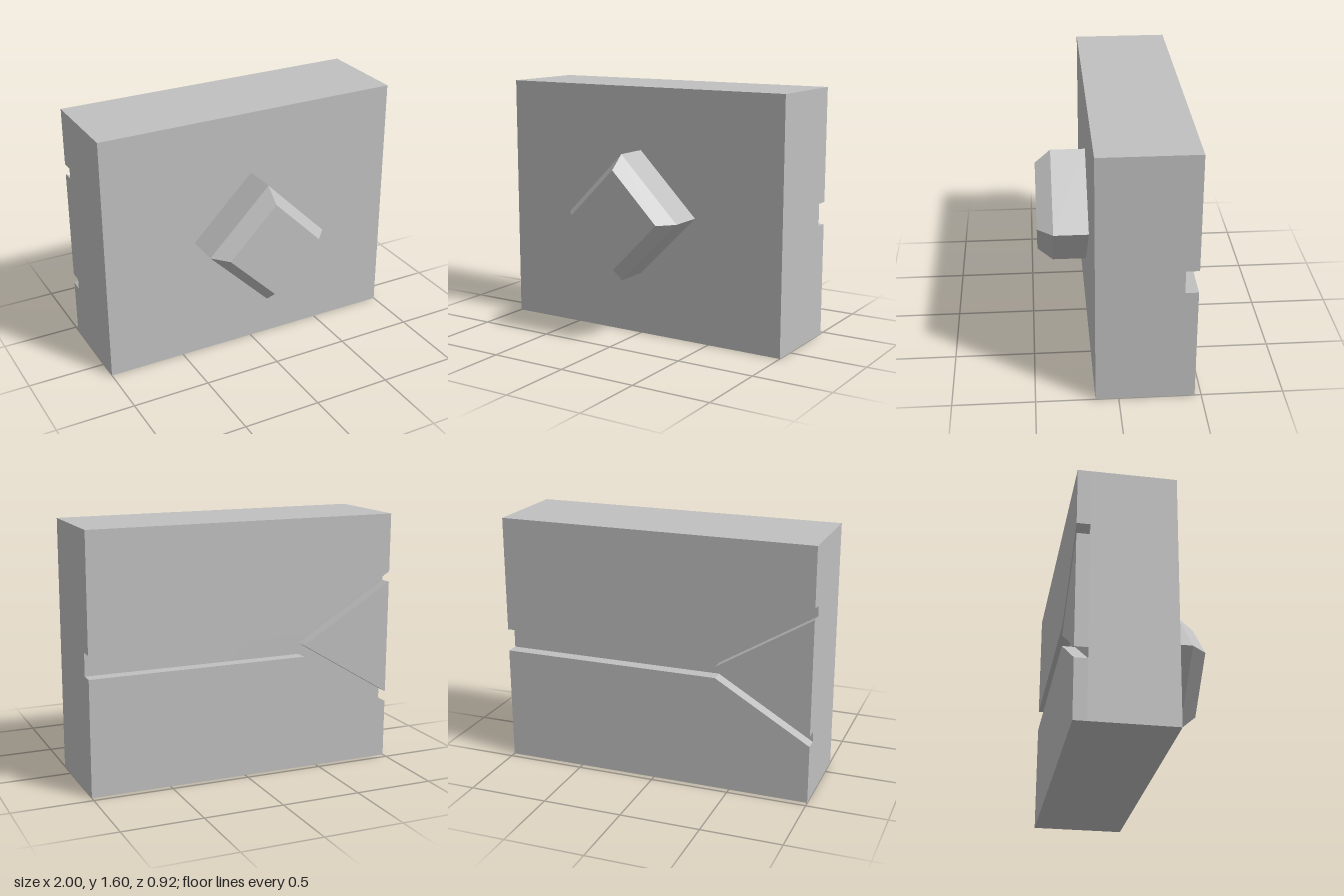
import * as THREE from 'three';

export function createModel() {
  const model = new THREE.Group();
  const grey = new THREE.MeshStandardMaterial({ color: 0xc0c0c0 });
  grey.name = 'plain grey';
  grey.flatShading = true;

  function add(name, geometry) {
    const mesh = new THREE.Mesh(geometry, grey);
    mesh.name = name;
    model.add(mesh);
    return mesh;
  }

  const back = -0.46, front = 0.14, grooveDepth = 0.08;
  const floor = back + grooveDepth;

  // Main slab, its back face forming the groove floor
  const slab = new THREE.BoxGeometry(2, 1.6, front - floor);
  add('slab', slab).position.set(0, 0.8, (front + floor) / 2);

  // Raised back panels, the gaps between them forming the forked groove
  function panel(name, points) {
    const shape = new THREE.Shape(points.map(([x, y]) => new THREE.Vector2(x, y)));
    const geometry = new THREE.ExtrudeGeometry(shape, { depth: grooveDepth, bevelEnabled: false });
    add(name, geometry).position.z = back;
  }
  const lower = [[-1, 0], [1, 0], [1, 0.728], [-0.4, 0.728], [-1, 0.37]];
  panel('lowerBackPanel', lower);
  panel('upperBackPanel', lower.map(([x, y]) => [x, 1.6 - y]));
  panel('forkWedge', [[-1, 0.437], [-0.4, 0.8], [-1, 1.163]]);

  // Diamond boss with a chamfered rim on the front
  const profile = [[0.4, 0], [0.4, 0.22], [0.313, 0.32], [0, 0.32]]
    .map(([r, h]) => new THREE.Vector2(r, h));
  const boss = new THREE.LatheGeometry(profile, 4);
  boss.rotateX(Math.PI / 2);
  add('diamondBoss', boss).position.set(0, 0.8, front);

  return model;
}
